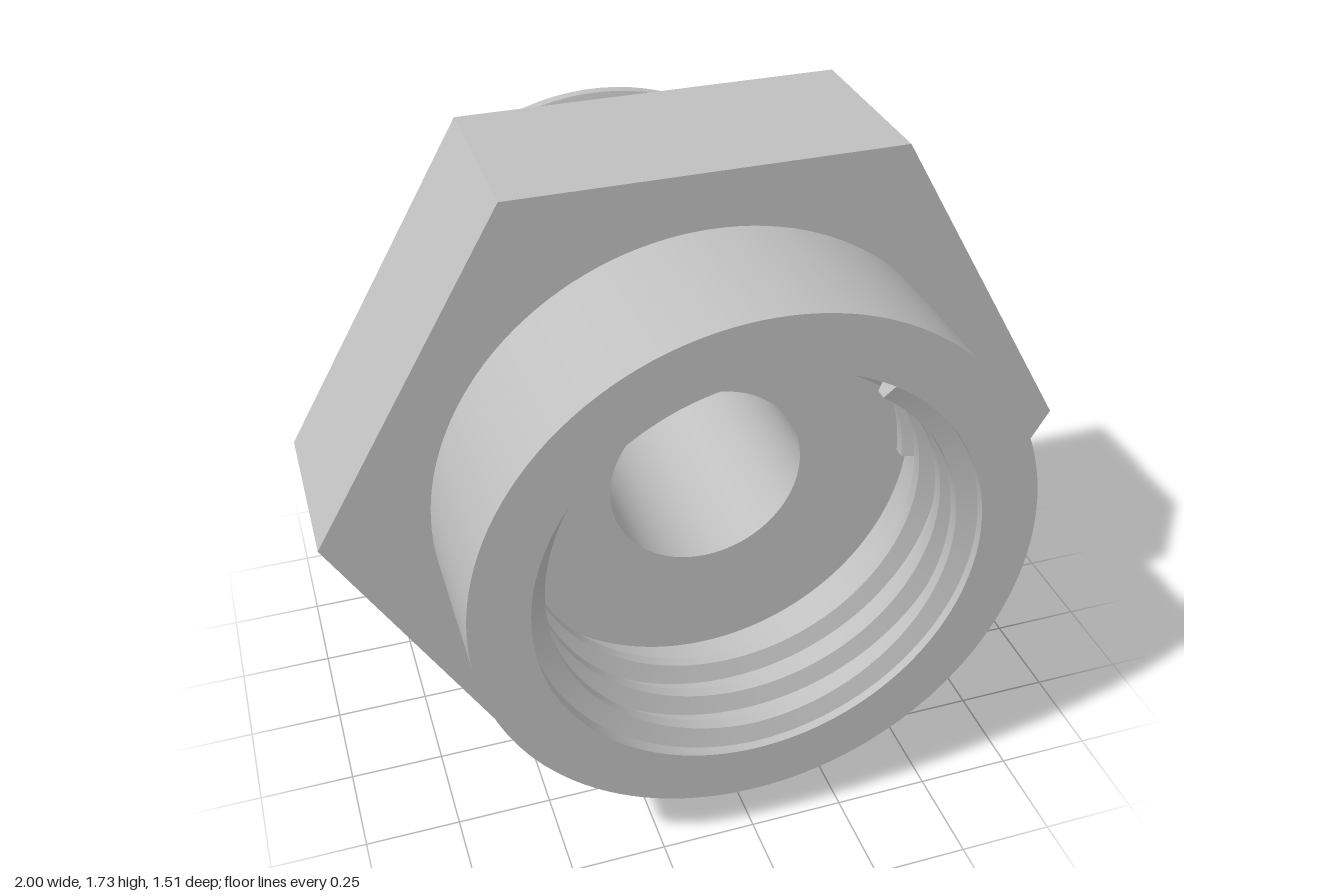
import * as THREE from 'three';
import { toCreasedNormals } from 'three/addons/utils/BufferGeometryUtils.js';

const BORE = 0.26, AXIS_Y = 0.866;
const HEX_BACK = -0.155, HEX_FRONT = 0.33, END = 0.755;

// Surface of revolution about z from [radius, z] points
function turned(points) {
  const profile = points.map(([r, z]) => new THREE.Vector2(r, z));
  const g = new THREE.LatheGeometry(profile, 128);
  g.rotateX(Math.PI / 2);
  return toCreasedNormals(g, 0.6);
}

// Hexagonal block with a round bore, flats at top and bottom
function hexBlock() {
  const shape = new THREE.Shape();
  for (let i = 0; i < 6; i++) {
    const a = (i * Math.PI) / 3;
    shape[i ? 'lineTo' : 'moveTo'](Math.cos(a), Math.sin(a));
  }
  shape.closePath();
  const hole = new THREE.Path();
  hole.absarc(0, 0, BORE, 0, Math.PI * 2, true);
  shape.holes.push(hole);
  const g = new THREE.ExtrudeGeometry(shape, {
    depth: HEX_FRONT - HEX_BACK, bevelEnabled: false, curveSegments: 64,
  });
  g.translate(0, 0, HEX_BACK);
  return toCreasedNormals(g, 0.6);
}

// Right-handed trapezoid ridge running toward -z, level at both ends.
// Angles are degrees travelled clockwise from startAngle.
function thread({ root, crest, startAngle, sweep, lead, pitch, zStart, zEnd }) {
  const side = Math.sign(crest - root);
  const section = [[root - side * 0.005, -0.033], [crest, -0.015], [crest, 0.015], [root - side * 0.005, 0.033]];
  const steps = Math.ceil(sweep / 4);
  const rings = [];
  for (let i = 0; i <= steps; i++) {
    const travelled = (sweep * i) / steps;
    const a = THREE.MathUtils.degToRad(startAngle - travelled);
    const z = Math.max(zEnd, zStart - (Math.max(0, travelled - lead) / 360) * pitch);
    rings.push(section.map(([r, dz]) => [r * Math.cos(a), r * Math.sin(a), z + side * dz]));
  }
  const pos = [];
  const tri = (...corners) => corners.forEach((c) => pos.push(...c));
  for (let i = 0; i < steps; i++) {
    for (let k = 0; k < 4; k++) {
      const n = (k + 1) % 4;
      const a = rings[i][k], b = rings[i + 1][k], c = rings[i][n], d = rings[i + 1][n];
      tri(a, c, b);
      tri(b, c, d);
    }
  }
  // End caps
  const s = rings[0], e = rings[steps];
  tri(s[0], s[2], s[1]);
  tri(s[0], s[3], s[2]);
  tri(e[0], e[1], e[2]);
  tri(e[0], e[2], e[3]);
  const g = new THREE.BufferGeometry();
  g.setAttribute('position', new THREE.Float32BufferAttribute(pos, 3));
  return toCreasedNormals(g, 0.4);
}

export function createModel() {
  const metal = new THREE.MeshStandardMaterial({ color: 0xc0c0c0 });
  metal.name = 'grey metal';

  const model = new THREE.Group();
  model.name = 'threadedAdapter';
  const add = (name, geometry) => {
    const mesh = new THREE.Mesh(geometry, metal);
    mesh.name = name;
    mesh.position.y = AXIS_Y;
    model.add(mesh);
  };

  add('hexBody', hexBlock());

  // Front collar: outer wall, rim, socket wall (the hex face is the socket floor)
  add('frontCollar', turned([[0.72, HEX_FRONT], [0.72, END], [0.57, END], [0.57, HEX_FRONT]]));

  // Rear spigot: bore wall, end face, outer wall
  add('rearSpigot', turned([[BORE, HEX_BACK], [BORE, -END], [0.605, -END], [0.605, HEX_BACK]]));

  add('outerThread', thread({
    root: 0.605, crest: 0.655, startAngle: 56, sweep: 1496, lead: 146,
    pitch: 0.1215, zStart: -0.302, zEnd: -0.7,
  }));

  add('innerThread', thread({
    root: 0.57, crest: 0.52, startAngle: 56, sweep: 1136, lead: 146,
    pitch: 0.1215, zStart: 0.7, zEnd: 0.385,
  }));

  return model;
}
